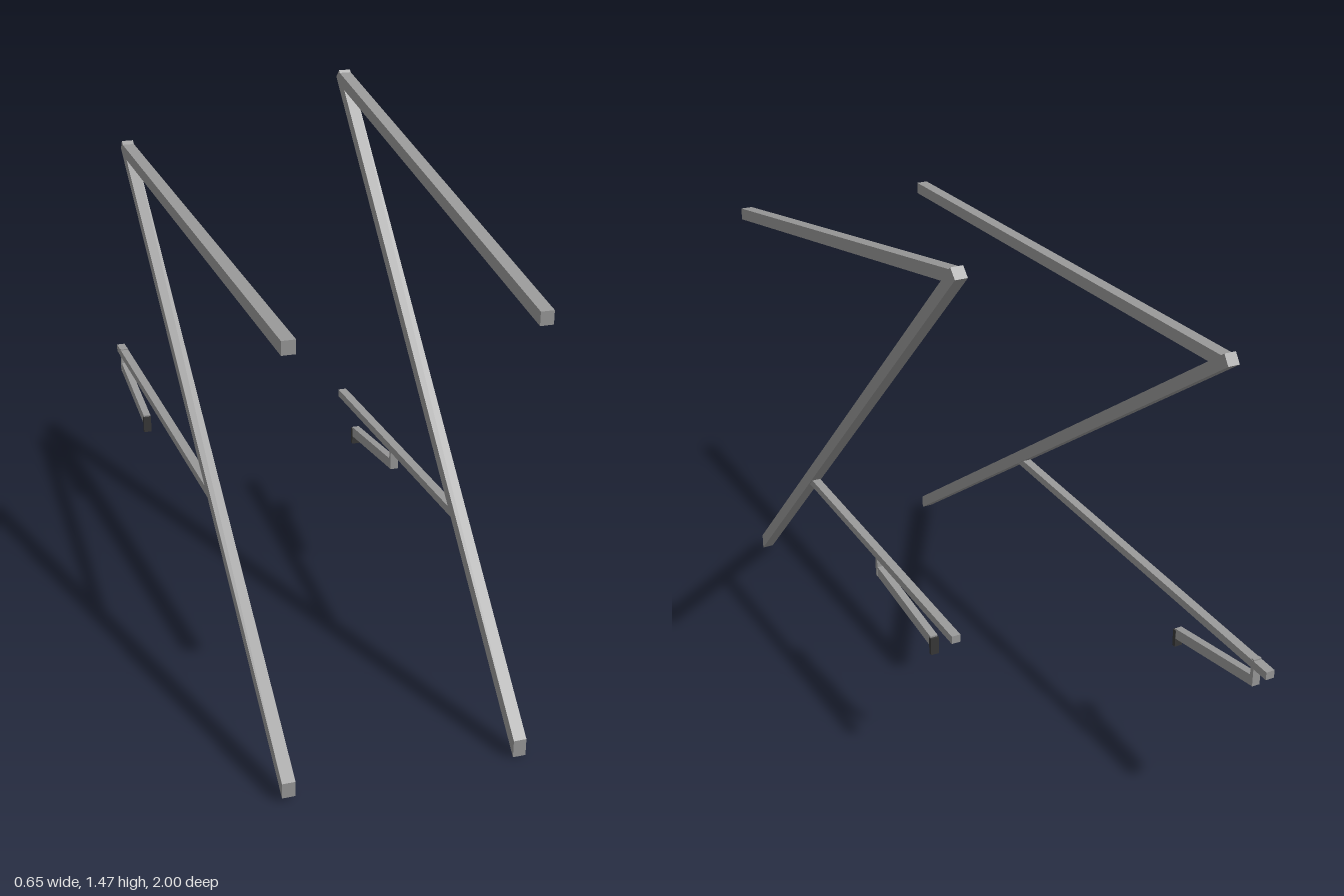
import * as THREE from 'three';

const steel = new THREE.MeshStandardMaterial({ color: 0x999999 });
steel.name = 'grey steel';
const rubber = new THREE.MeshStandardMaterial({ color: 0x383838 });
rubber.name = 'dark rubber';

// Straight bar between two [z, y] points; a plumb end is cut vertically, otherwise square
function bar(name, a, b, thick, width, plumbA = false, plumbB = false, material = steel) {
  const dz = b[0] - a[0], dy = b[1] - a[1];
  const len = Math.hypot(dz, dy);
  const half = thick / 2;
  const square = [-dy / len * half, dz / len * half];
  const plumb = [0, half * len / dz];
  const oa = plumbA ? plumb : square;
  const ob = plumbB ? plumb : square;
  const shape = new THREE.Shape([
    [a[0] - oa[0], a[1] - oa[1]],
    [b[0] - ob[0], b[1] - ob[1]],
    [b[0] + ob[0], b[1] + ob[1]],
    [a[0] + oa[0], a[1] + oa[1]],
  ].map(p => new THREE.Vector2(...p)));
  const geometry = new THREE.ExtrudeGeometry(shape, { depth: width, bevelEnabled: false });
  geometry.translate(0, 0, -width / 2).rotateY(-Math.PI / 2);
  const mesh = new THREE.Mesh(geometry, material);
  mesh.name = name;
  return mesh;
}

// One side: slanted leg, top arm, rear rail and the hanging hook
function sideFrame(name, x, p) {
  const side = new THREE.Group();
  side.name = name;
  const W = 0.035;
  side.add(
    bar('leg', p.foot, p.apex, W, W, true, false),
    bar('topArm', [1, 1.208], p.armBack, W, W, true, false),
    bar('rail', p.railFront, p.railBack, 0.023, 0.026, true, true),
  );

  const hook = new THREE.Group();
  hook.name = 'hook';
  const [z, top] = p.hook;
  const dir = p.hookDir;
  const tip = z + dir * 0.35;
  hook.add(
    bar('hookPost', [z, 0.374], [z, top], 0.012, 0.024),
    bar('hookArm', [z, 0.389], [tip, 0.341], 0.031, 0.022, true, true),
    bar('hookTip', [tip, 0.3], [tip, 0.352], 0.012, 0.024, false, false, rubber),
  );
  side.add(hook);
  side.position.x = x;
  return side;
}

export function createModel() {
  const model = new THREE.Group();
  model.name = 'supportFrames';
  model.add(
    sideFrame('leftFrame', 0.31, {
      foot: [1, 0.025], apex: [-0.475, 1.463], armBack: [-0.462, 1.452],
      railFront: [0.56, 0.466], railBack: [-0.445, 0.42],
      hook: [0.04, 0.445], hookDir: -1,
    }),
    sideFrame('rightFrame', -0.31, {
      foot: [1, 0.031], apex: [-0.748, 1.22], armBack: [-0.735, 1.208],
      railFront: [0.325, 0.497], railBack: [-1, 0.437],
      hook: [-0.94, 0.455], hookDir: 1,
    }),
  );
  return model;
}
